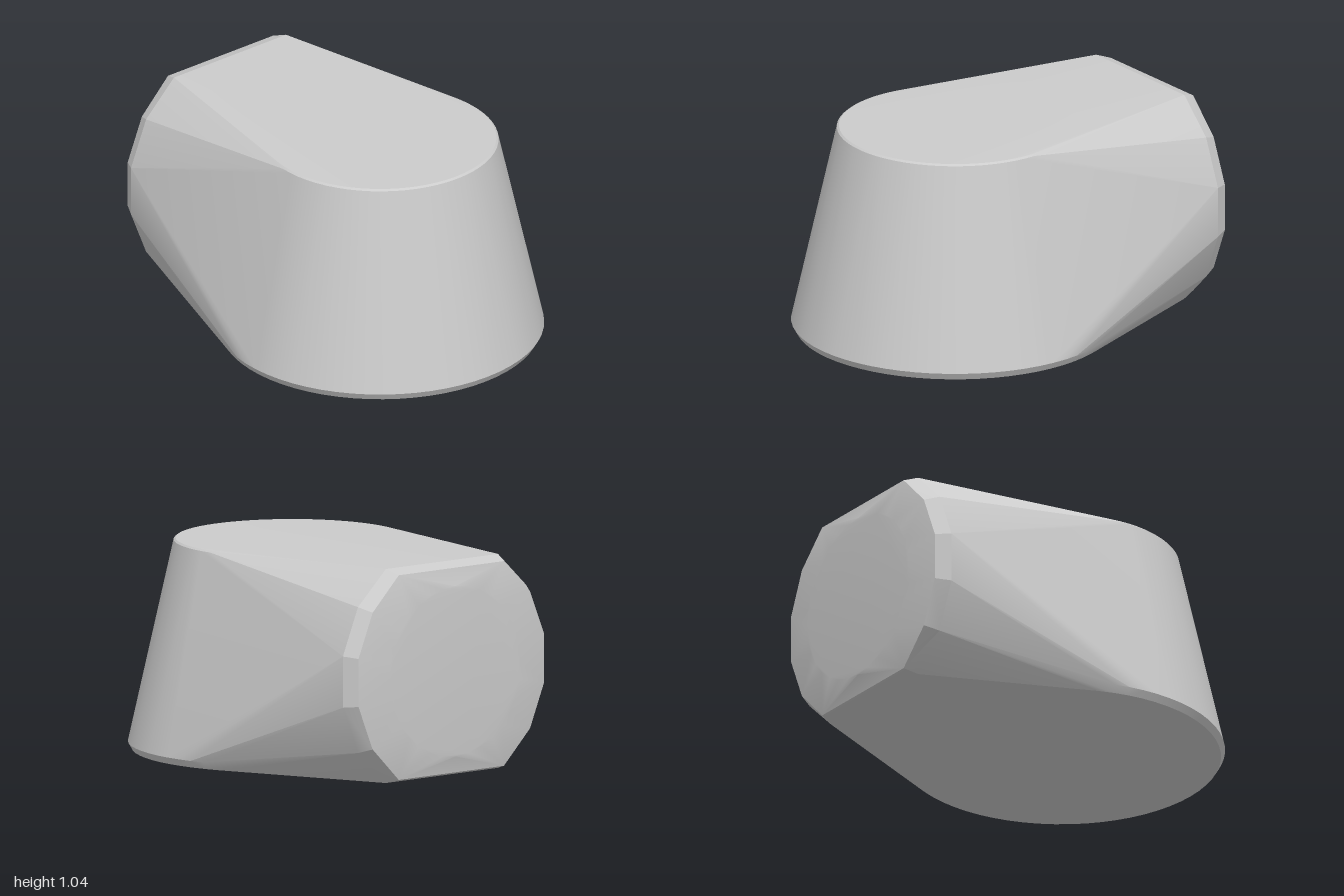
import * as THREE from 'three';
import { ConvexGeometry } from 'three/addons/geometries/ConvexGeometry.js';
import { toCreasedNormals } from 'three/addons/utils/BufferGeometryUtils.js';

// Horizontal circle centred on the axis of the rounded front
function disc(radius, y, sides = 64) {
  return Array.from({ length: sides }, (_, i) => {
    const a = (i / sides) * Math.PI * 2;
    return new THREE.Vector3(radius * Math.sin(a), y, 0.21 + radius * Math.cos(a));
  });
}

// Upright 16-sided ring at the back, cut flat at top and bottom
function backRing(radius, z) {
  const points = [];
  for (let i = 0; i < 16; i++) {
    const a = ((i + 0.5) / 16) * Math.PI * 2;
    if (Math.abs(Math.sin(a)) > 0.9) continue;
    points.push(new THREE.Vector3(radius * Math.cos(a), 0.52 + radius * Math.sin(a), z));
  }
  return points;
}

// Round flat end face at the back
function backFace(radius, z, sides = 32) {
  return Array.from({ length: sides }, (_, i) => {
    const a = (i / sides) * Math.PI * 2;
    return new THREE.Vector3(radius * Math.cos(a), 0.52 + radius * Math.sin(a), z);
  });
}

export function createModel() {
  const group = new THREE.Group();
  group.name = 'taperedBlock';

  // Skin stretched over the tapered round front and the bevelled back end
  const hull = new ConvexGeometry([
    ...disc(0.77, 0),
    ...disc(0.79, 0.035),
    ...disc(0.57, 1.018),
    ...disc(0.56, 1.026),
    ...backRing(0.625, -0.9),
    ...backRing(0.64, -0.9).map((p) => p.setY(THREE.MathUtils.clamp(p.y, 0, 1.043))),
    ...backRing(0.6, -0.97),
    ...backFace(0.415, -1),
  ]);

  const body = new THREE.Mesh(
    toCreasedNormals(hull, 0.3),
    new THREE.MeshStandardMaterial({ color: 0xcccccc })
  );
  body.name = 'body';
  group.add(body);
  return group;
}
